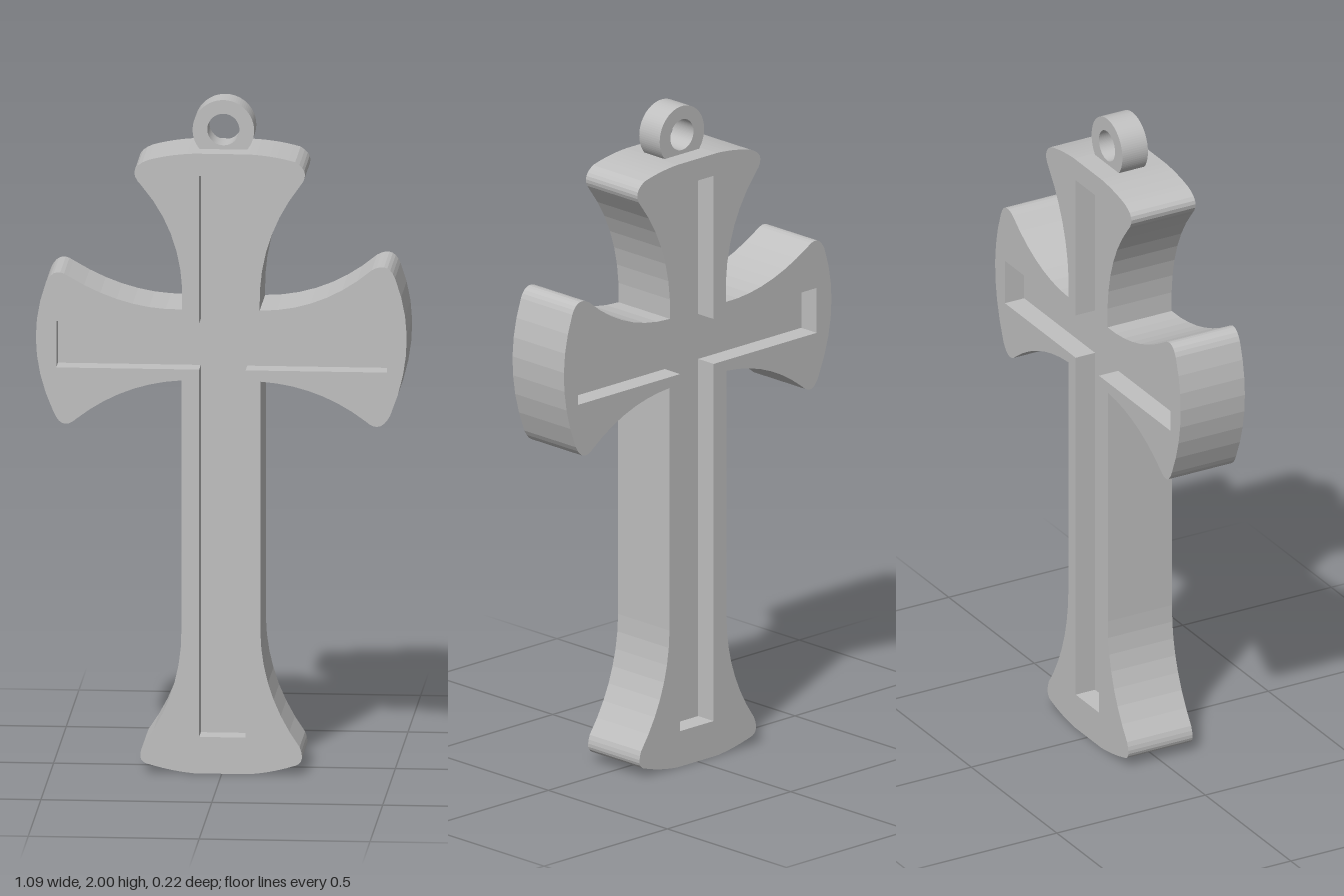
import * as THREE from 'three';

const DEPTH = 0.216; // full thickness
const WEB = 0.086; // thickness left between the two grooves, and of the ring

// Each entry is [x, y] for a straight edge, or [midX, midY, x, y] for a curve through a middle point.
const OUTLINE = [
  [0.08, 1.853],
  // top arm, right side
  [0.15, 1.846, 0.215, 1.832], [0.243, 1.8, 0.23, 1.762], [0.137, 1.587, 0.111, 1.387],
  // left arm of the cross (+x)
  [0.284, 1.419, 0.439, 1.513], [0.48, 1.521, 0.507, 1.49], [0.541, 1.29, 0.493, 1.08],
  [0.46, 1.046, 0.42, 1.062], [0.275, 1.142, 0.113, 1.175],
  // shaft and foot
  [0.113, 0.43], [0.143, 0.25, 0.228, 0.085], [0.233, 0.045, 0.207, 0.027], [0.145, 0.011, 0.08, 0.002],
  [-0.08, 0.002], [-0.145, 0.011, -0.212, 0.027], [-0.237, 0.045, -0.23, 0.085], [-0.145, 0.25, -0.118, 0.43],
  [-0.118, 1.175],
  // right arm of the cross (-x)
  [-0.28, 1.14, -0.425, 1.056], [-0.463, 1.041, -0.492, 1.075], [-0.543, 1.27, -0.515, 1.46],
  [-0.487, 1.491, -0.45, 1.482], [-0.284, 1.408, -0.116, 1.387],
  // top arm, left side
  [-0.14, 1.587, -0.235, 1.755], [-0.255, 1.8, -0.215, 1.832], [-0.15, 1.846, -0.08, 1.853],
];

function outlineShape() {
  const shape = new THREE.Shape();
  let x = -0.08, y = 1.853;
  shape.moveTo(x, y);
  for (const p of OUTLINE) {
    const [ex, ey] = p.slice(-2);
    if (p.length === 2) shape.lineTo(ex, ey);
    else shape.quadraticCurveTo(2 * p[0] - (x + ex) / 2, 2 * p[1] - (y + ey) / 2, ex, ey);
    x = ex;
    y = ey;
  }
  return shape;
}

// Plain cross with square ends, used for the groove
function groovePoints() {
  const l = -0.066, r = 0.07, b = 1.208, t = 1.346, arm = 0.484, top = 1.786, foot = 0.111;
  return [
    [l, foot], [r, foot], [r, b], [arm, b], [arm, t], [r, t],
    [r, top], [l, top], [l, t], [-arm, t], [-arm, b], [l, b],
  ].map(([x, y]) => new THREE.Vector2(x, y));
}

// Extrusion centred on z = 0
function slab(shape, depth, curveSegments) {
  const geometry = new THREE.ExtrudeGeometry(shape, { depth, curveSegments, bevelEnabled: false });
  return geometry.translate(0, 0, -depth / 2);
}

export function createModel() {
  const group = new THREE.Group();
  group.name = 'crossPendant';
  const metal = new THREE.MeshStandardMaterial({ color: 0xc0c0c0 });
  metal.name = 'grey metal';

  const add = (name, geometry) => {
    const mesh = new THREE.Mesh(geometry, metal);
    mesh.name = name;
    group.add(mesh);
  };

  // Flared body, pierced by the groove
  const body = outlineShape();
  body.holes.push(new THREE.Path(groovePoints()));
  add('body', slab(body, DEPTH, 7));

  // Floor of the groove, seen from front and back
  add('grooveFloor', slab(new THREE.Shape(groovePoints()), WEB, 1));

  // Hanging ring, sunk slightly into the top edge
  const ring = new THREE.Shape().absarc(0, 1.91, 0.09, 0, Math.PI * 2);
  ring.holes.push(new THREE.Path().absarc(0, 1.912, 0.047, 0, Math.PI * 2, true));
  add('hangingRing', slab(ring, WEB, 40));

  return group;
}
